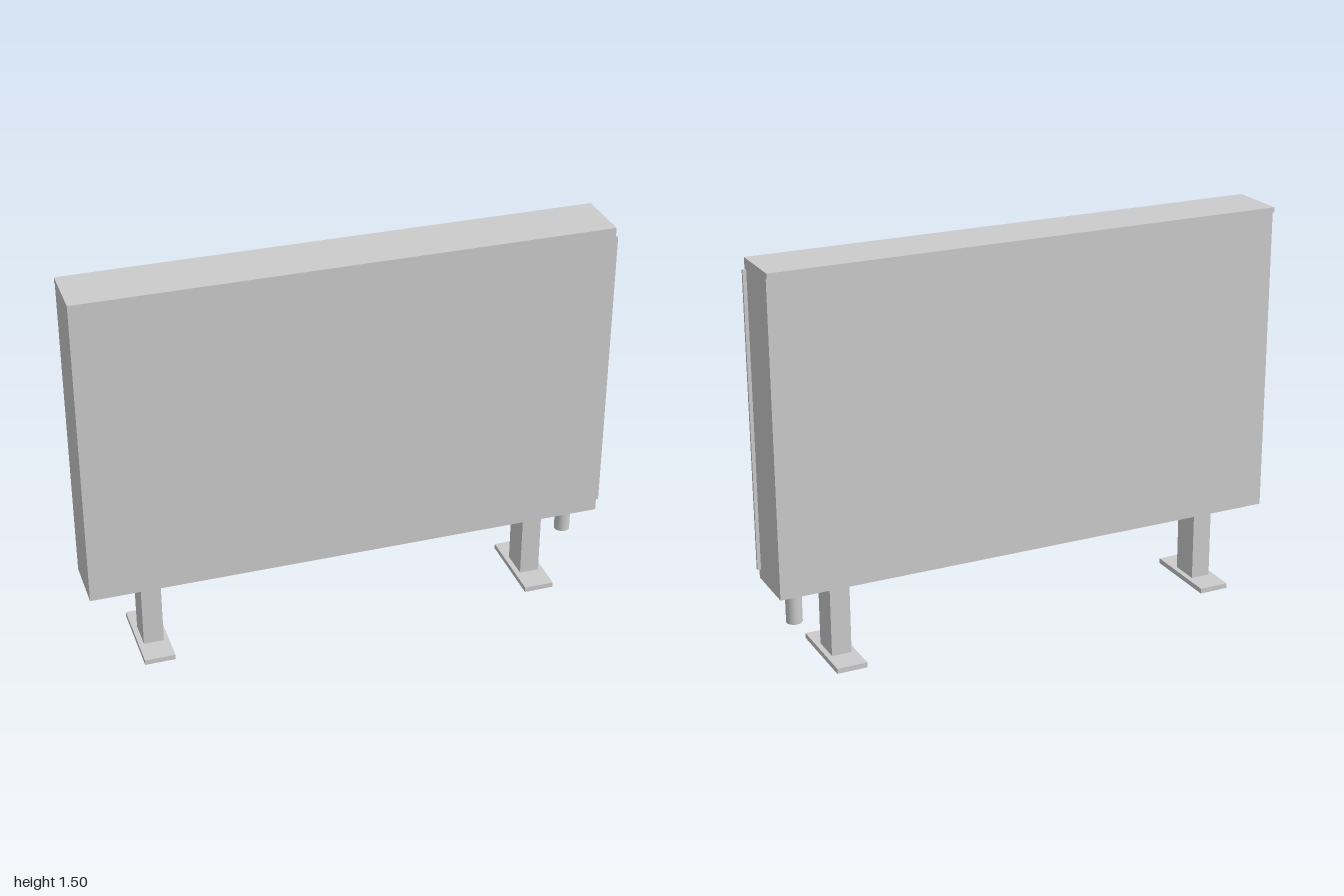
import * as THREE from 'three';

const material = new THREE.MeshStandardMaterial({ color: 0xcccccc });

// Box given by its min and max on each axis
function box(name, [x0, x1], [y0, y1], [z0, z1]) {
  const mesh = new THREE.Mesh(new THREE.BoxGeometry(x1 - x0, y1 - y0, z1 - z0), material);
  mesh.position.set((x0 + x1) / 2, (y0 + y1) / 2, (z0 + z1) / 2);
  mesh.name = name;
  return mesh;
}

// Upright post on a flat foot plate
function stand(name, x) {
  const group = new THREE.Group();
  group.name = name;
  group.add(
    box('post', [-0.038, 0.038], [0.02, 0.3], [-0.058, 0.058]),
    box('footPlate', [-0.058, 0.058], [0, 0.02], [-0.16, 0.16])
  );
  group.position.x = x;
  return group;
}

export function createModel() {
  const model = new THREE.Group();
  model.name = 'panelOnStands';

  // Cabinet: side profile with a small lip along the top of the back
  const profile = new THREE.Shape([
    [-0.119, 0.3], [0.097, 0.3], [0.097, 1.475],
    [0.107, 1.475], [0.107, 1.495], [-0.119, 1.495],
  ].map(([x, y]) => new THREE.Vector2(x, y)));
  const geometry = new THREE.ExtrudeGeometry(profile, { depth: 1.987, bevelEnabled: false });
  geometry.rotateY(Math.PI / 2); // profile x becomes -z, depth becomes +x
  geometry.translate(-1, 0, 0);
  const cabinet = new THREE.Mesh(geometry, material);
  cabinet.name = 'cabinet';
  model.add(cabinet);

  // Thin vertical strip on the left end
  model.add(box('sideStrip', [0.987, 1], [0.34, 1.455], [0.101, 0.111]));

  model.add(stand('rightStand', -0.763), stand('leftStand', 0.75));

  // Pipe stub under the cabinet
  const pipe = new THREE.Mesh(new THREE.CylinderGeometry(0.03, 0.03, 0.14, 32), material);
  pipe.position.set(0.905, 0.23, 0);
  pipe.name = 'pipe';
  model.add(pipe);

  return model;
}
